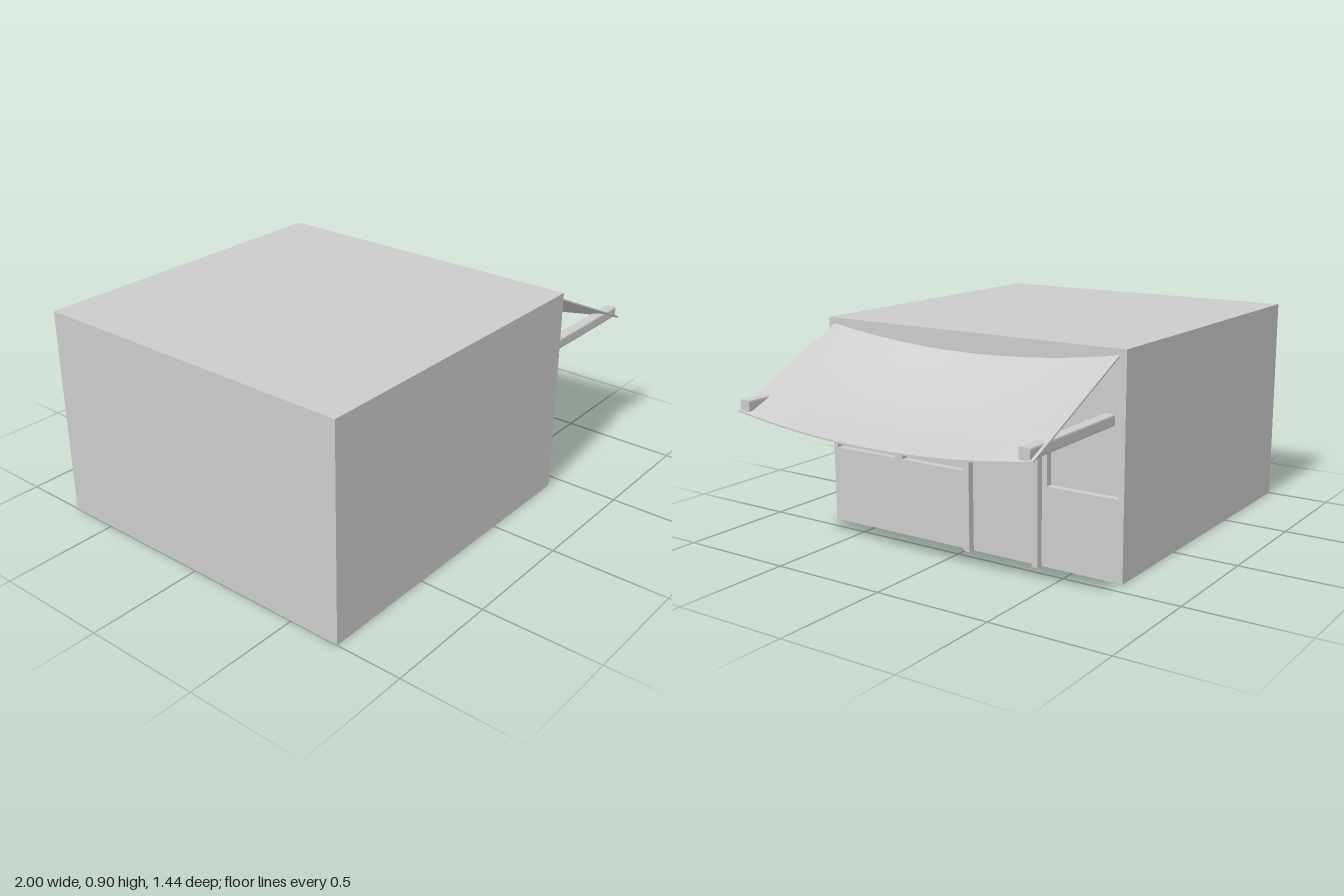
import * as THREE from 'three';

const WALL_X = 0.43, HALF_Z = 0.72, HEIGHT = 0.9;
const grey = new THREE.MeshStandardMaterial({ color: 0xcccccc, side: THREE.DoubleSide });

function add(parent, name, geometry, x = 0, y = 0, z = 0) {
  const mesh = new THREE.Mesh(geometry, grey);
  mesh.name = name;
  mesh.position.set(x, y, z);
  parent.add(mesh);
  return mesh;
}

// Box without some faces; face order is +x, -x, +y, -y, +z, -z
function openBox(w, h, d, dropped) {
  const g = new THREE.BoxGeometry(w, h, d);
  const index = Array.from(g.index.array);
  g.setIndex(index.filter((_, i) => !dropped.includes(Math.floor(i / 6))));
  g.clearGroups();
  return g;
}

function rectangle(target, x0, x1, y0, y1) {
  target.moveTo(x0, y0).lineTo(x1, y0).lineTo(x1, y1).lineTo(x0, y1).closePath();
  return target;
}

// Sagging cloth: a thin box whose vertices follow the droop
function awningGeometry() {
  const length = 1 - WALL_X, halfWidth = 0.69, thickness = 0.007;
  const g = new THREE.BoxGeometry(length, thickness, halfWidth * 2, 14, 1, 24);
  const p = g.attributes.position;
  for (let i = 0; i < p.count; i++) {
    const u = p.getX(i) / length + 0.5;
    const v = p.getZ(i) / halfWidth;
    const sag = (1 - v * v) * (0.058 + 0.05 * Math.sin(Math.PI * u));
    p.setXYZ(i, WALL_X + u * length, 0.872 - 0.267 * u - sag + p.getY(i), p.getZ(i));
  }
  g.computeVertexNormals();
  return g;
}

// Square bar with rounded corners, running along x
function poleGeometry(length) {
  const s = 0.023, r = 0.008;
  const shape = new THREE.Shape();
  shape.moveTo(-s + r, -s).lineTo(s - r, -s).quadraticCurveTo(s, -s, s, -s + r);
  shape.lineTo(s, s - r).quadraticCurveTo(s, s, s - r, s);
  shape.lineTo(-s + r, s).quadraticCurveTo(-s, s, -s, s - r);
  shape.lineTo(-s, -s + r).quadraticCurveTo(-s, -s, -s + r, -s);
  return new THREE.ExtrudeGeometry(shape, { depth: length, bevelEnabled: false, curveSegments: 3 })
    .rotateY(Math.PI / 2);
}

export function createModel() {
  const model = new THREE.Group();
  model.name = 'shop';

  // Hollow building shell, open below and on the shopfront side
  add(model, 'buildingShell', openBox(1 + WALL_X, HEIGHT, HALF_Z * 2, [0, 3]),
    (WALL_X - 1) / 2, HEIGHT / 2, 0);

  // Shopfront wall with window openings; shape x is -z
  const wall = rectangle(new THREE.Shape(), -HALF_Z, HALF_Z, 0, HEIGHT);
  const windows = [[-0.70, -0.385], [-0.34, -0.025], [0.38, 0.695]];
  const y0 = 0.33, y1 = 0.48, recess = 0.03;
  for (const [a, b] of windows) {
    wall.holes.push(rectangle(new THREE.Path(), a, b, y0, y1));
    add(model, 'windowRecess', openBox(recess, y1 - y0, b - a, [0]),
      WALL_X - recess / 2, (y0 + y1) / 2, -(a + b) / 2);
  }
  add(model, 'shopfrontWall', new THREE.ShapeGeometry(wall).rotateY(Math.PI / 2), WALL_X);

  // Door frame standing proud of the wall
  const frame = new THREE.Shape();
  frame.moveTo(0, 0).lineTo(0.027, 0).lineTo(0.027, 0.475).lineTo(0.328, 0.475)
    .lineTo(0.328, 0).lineTo(0.357, 0).lineTo(0.357, 0.505).lineTo(0, 0.505).closePath();
  add(model, 'doorFrame',
    new THREE.ExtrudeGeometry(frame, { depth: 0.03, bevelEnabled: false }).rotateY(Math.PI / 2), WALL_X);

  // Awning and its two poles
  add(model, 'awningCloth', awningGeometry());
  for (const side of [-1, 1]) {
    const pole = add(model, 'awningPole', poleGeometry(0.565), WALL_X, 0.632, side * 0.652);
    pole.rotation.z = -0.008;
  }
  return model;
}
